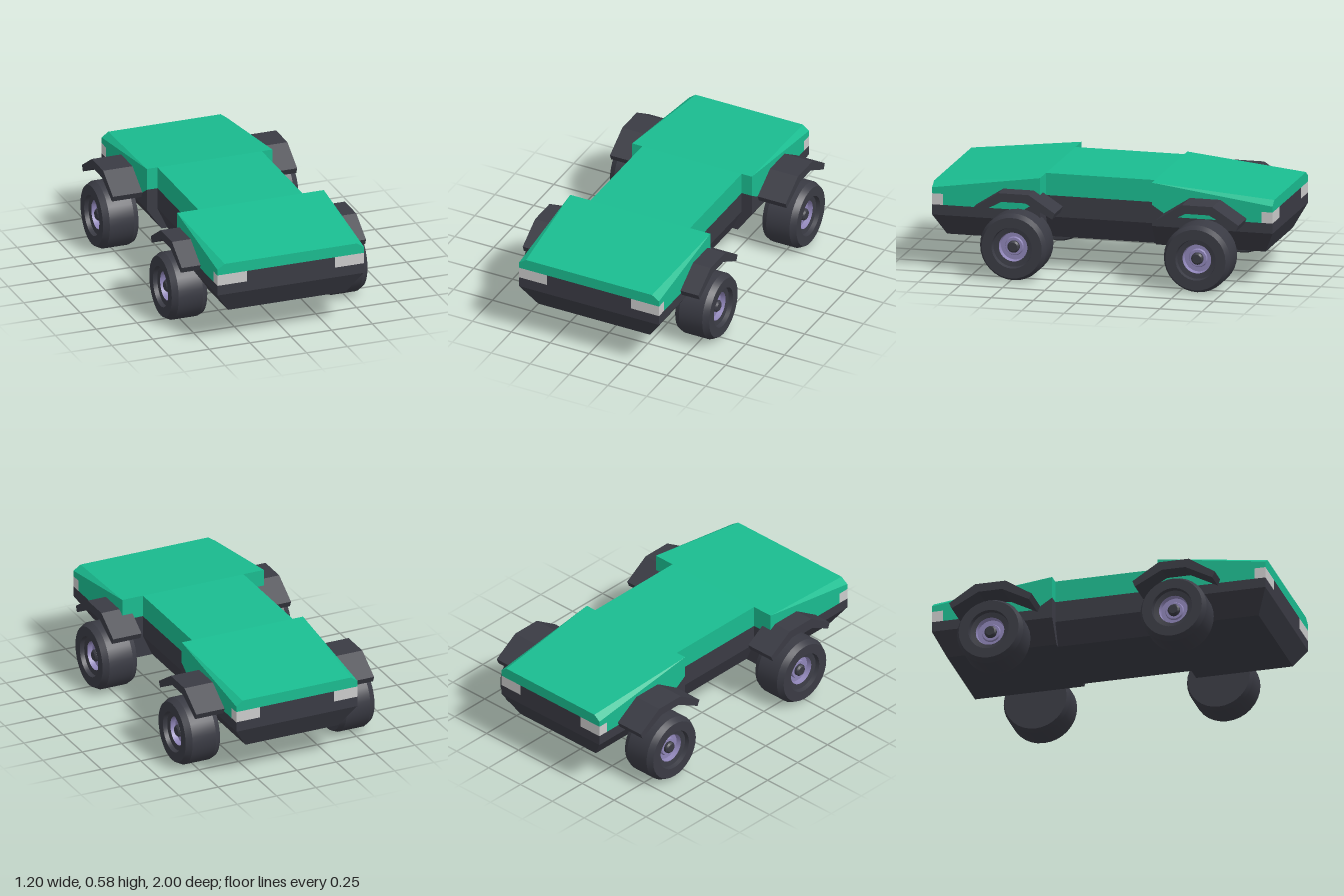
import * as THREE from 'three';
import { toCreasedNormals } from 'three/addons/utils/BufferGeometryUtils.js';

const paint = (color) => new THREE.MeshStandardMaterial({ color });
const green = paint(0x1abc90), dark = paint(0x3a3b44), lilac = paint(0x8f85b8), grey = paint(0xcccccc);

function add(parent, name, geometry, material) {
  const mesh = new THREE.Mesh(geometry, material);
  mesh.name = name;
  parent.add(mesh);
  return mesh;
}

// Flat-faced loft: each section is { z, half: [[x, y], ...] }, the +x half listed bottom to top
function loft(sections) {
  const rings = [...sections].sort((a, b) => a.z - b.z).map(({ z, half }) => [
    ...half.map(([x, y]) => [x, y, z]),
    ...[...half].reverse().map(([x, y]) => [-x, y, z]),
  ]);
  const pos = [], n = rings[0].length;
  const tri = (a, b, c) => pos.push(...a, ...b, ...c);
  for (let r = 0; r + 1 < rings.length; r++) {
    const a = rings[r], b = rings[r + 1];
    for (let i = 0; i < n; i++) {
      const j = (i + 1) % n;
      tri(a[i], a[j], b[j]);
      tri(a[i], b[j], b[i]);
    }
  }
  const first = rings[0], last = rings[rings.length - 1];
  for (let i = 1; i + 1 < n; i++) {
    tri(first[0], first[i + 1], first[i]);
    tri(last[0], last[i], last[i + 1]);
  }
  const g = new THREE.BufferGeometry();
  g.setAttribute('position', new THREE.Float32BufferAttribute(pos, 3));
  g.computeVertexNormals();
  return g;
}

function box(parent, name, material, x0, x1, y0, y1, z0, z1) {
  const g = new THREE.BoxGeometry(x1 - x0, y1 - y0, Math.abs(z1 - z0));
  g.translate((x0 + x1) / 2, (y0 + y1) / 2, (z0 + z1) / 2);
  return add(parent, name, g, material);
}

// One end of the body: s = 1 front, -1 rear; start = distance from the centre where it begins
function bodyEnd(name, s, start, w, wTop, lampWidth) {
  const group = new THREE.Group();
  group.name = name;
  const wBottom = w - 0.09;

  // dark lower hull, chamfered along the sides and raked at the end
  const hull = (d, top) => ({ z: s * d, half: [[wBottom, 0.2], [w, 0.33], [w, top]] });
  add(group, 'lowerHull', loft([
    hull(start, 0.455), hull(start + 0.1, 0.39), hull(0.935, 0.39),
    { z: s, half: [[w, 0.33], [w, 0.33], [w, 0.39]] },
  ]), dark);

  // green upper shell, sloping down with a widening corner chamfer
  const shell = (d, bottom) => {
    const t = (d - start) / (1 - start);
    return { z: s * d, half: [[w, bottom], [w, 0.585 - 0.095 * t], [w + (wTop - w) * t, 0.585 - 0.065 * t]] };
  };
  const shells = [shell(start, 0.455), shell(start + 0.1, 0.39), shell(0.935, 0.39), shell(0.935, 0.455), shell(1, 0.455)];
  add(group, 'upperShell', loft(s > 0 ? shells : shells.reverse()), green);

  // lamps at the corners with a dark strip between
  const inner = w - lampWidth;
  box(group, 'lampStrip', dark, -inner, inner, 0.39, 0.455, s * 0.935, s);
  box(group, 'leftLamp', grey, inner, w, 0.39, 0.455, s * 0.935, s);
  box(group, 'rightLamp', grey, -w, -inner, 0.39, 0.455, s * 0.935, s);
  return group;
}

const points = (list) => list.map(([x, y]) => new THREE.Vector2(x, y));
const lathe = (list) => toCreasedNormals(new THREE.LatheGeometry(points(list), 32), 0.35);

// Wheel with its axis on y, outer face towards +y
function wheel() {
  const group = new THREE.Group();
  add(group, 'tyre', lathe([[0, -0.105], [0.185, -0.105], [0.197, -0.075], [0.197, 0.075],
    [0.178, 0.11], [0.12, 0.11], [0.115, 0.085], [0.085, 0.08]]), dark);
  add(group, 'rim', lathe([[0.085, 0.08], [0.08, 0.05], [0.055, 0.05], [0.05, 0.06], [0, 0.06]]), lilac);
  add(group, 'hub', lathe([[0.035, 0.05], [0.035, 0.075], [0.026, 0.085], [0, 0.085]]), dark);
  return group;
}

// Bent mudguard plate, extruded across x
function mudguard() {
  const arch = [[-0.245, 0.41], [-0.23, 0.375], [-0.07, 0.46], [0.07, 0.46],
    [0.23, 0.375], [0.245, 0.41], [0.09, 0.51], [-0.09, 0.51]];
  const g = new THREE.ExtrudeGeometry(new THREE.Shape(points(arch)), { depth: 0.18, bevelEnabled: false });
  g.translate(0, 0, -0.09);
  g.rotateY(Math.PI / 2);
  return g;
}

export function createModel() {
  const model = new THREE.Group();
  model.name = 'vehicle';

  // body
  model.add(bodyEnd('frontBody', 1, 0.36, 0.45, 0.405, 0.18));
  model.add(bodyEnd('rearBody', -1, 0.285, 0.385, 0.345, 0.15));
  const middle = (half) => loft([-0.285, 0.36].map((z) => ({ z, half })));
  add(model, 'middleHull', middle([[0.26, 0.2], [0.32, 0.33], [0.32, 0.455]]), dark);
  add(model, 'middleShell', middle([[0.32, 0.455], [0.32, 0.585]]), green);

  // wheels and mudguards
  for (const [end, z] of [['front', 0.487], ['rear', -0.602]]) {
    for (const [side, s] of [['Left', 1], ['Right', -1]]) {
      const w = wheel();
      w.name = `${end}${side}Wheel`;
      w.rotation.z = -s * Math.PI / 2;
      w.position.set(s * 0.49, 0.2, z);
      model.add(w);
      add(model, `${end}${side}Mudguard`, mudguard(), dark).position.set(s * 0.475, 0, z);
    }
  }
  return model;
}
